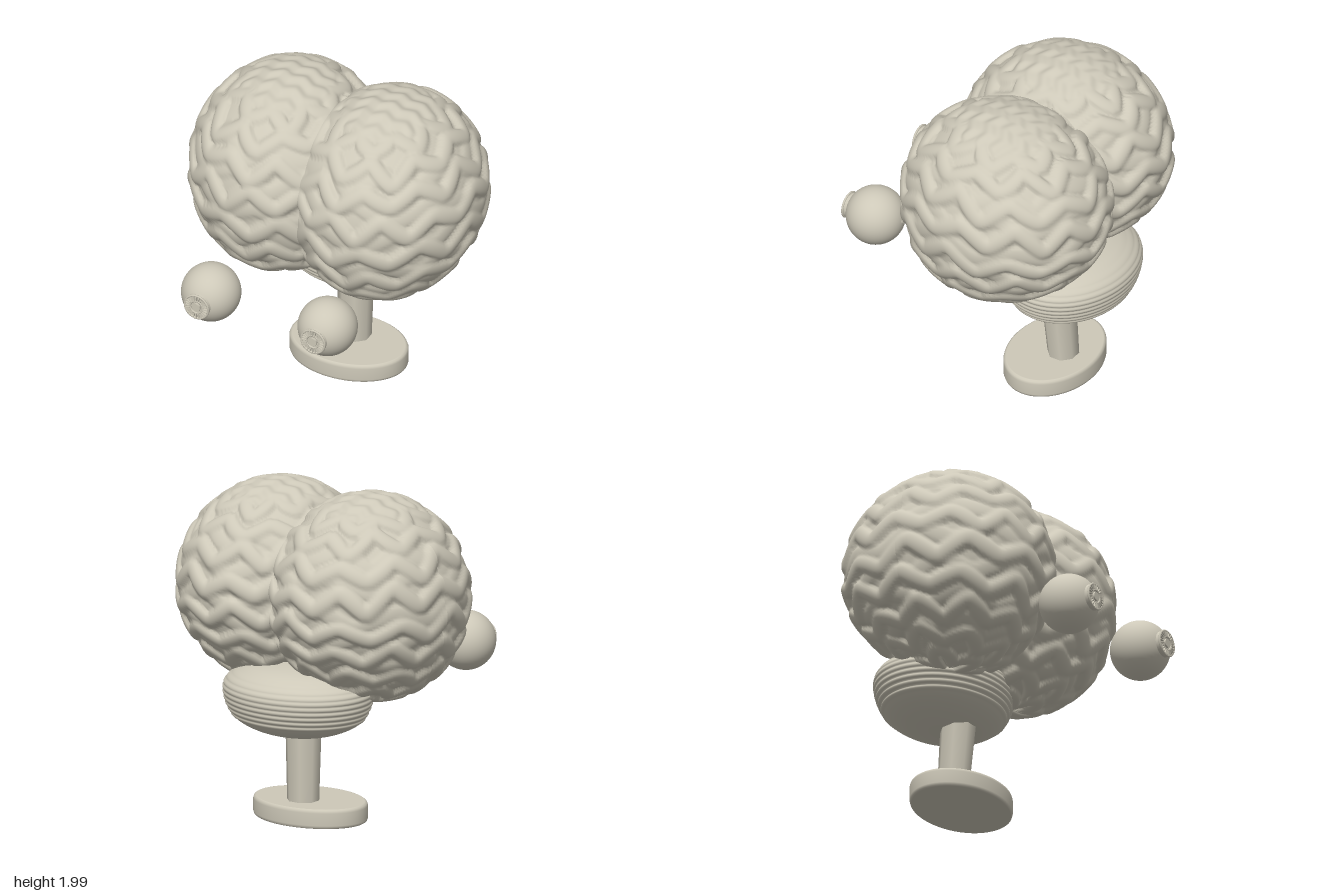
import * as THREE from 'three';

const stone = new THREE.MeshStandardMaterial({ color: 0xcdc8b8 });
stone.name = 'warm stone';

function add(parent, name, geometry, x = 0, y = 0, z = 0) {
  const mesh = new THREE.Mesh(geometry, stone);
  mesh.name = name;
  mesh.position.set(x, y, z);
  parent.add(mesh);
  return mesh;
}

// Rounded zigzag between -1 and 1
const zigzag = (t) => Math.asin(0.93 * Math.sin(t)) / Math.asin(0.93);

// Folds around a hemisphere: latitude in degrees, wave count, phase, strength
const folds = [
  [-76, 5, 0.4, 1], [-59, 8, 1.2, 1], [-42, 10, 0.2, 1], [-25, 10, 1.5, 1], [-8, 10, 0.6, 1],
  [10, 11, 1.9, 1], [27, 10, 0.9, 1], [43, 9, 2.2, 1], [58, 8, 0.5, 0.8],
  [-33, 7, 3.1, 0.4], [-16, 9, 3.9, 0.4], [1, 8, 0.1, 0.4], [19, 7, 4.2, 0.4], [35, 8, 5.1, 0.4], [-51, 7, 2.6, 0.4],
];

function foldLatitude([lat, waves, phase], a) {
  const swing = 4.6 + 1.3 * Math.sin(3 * a + phase * 2);
  return lat + swing * zigzag(waves * a + phase) + 1.5 * Math.sin(2 * a + phase);
}

// Rounded ridge profile, 1 on the line and 0 beyond the width
const ridge = (d, width) => (Math.abs(d) < width ? Math.sqrt(1 - (d / width) ** 2) : 0);

// Height of the folds above the smooth core in direction n
function foldHeight(n) {
  const lat = THREE.MathUtils.radToDeg(Math.asin(THREE.MathUtils.clamp(n.y, -1, 1)));
  const a = Math.atan2(n.z, n.x);
  const cos = Math.max(Math.hypot(n.x, n.z), 0.15);
  let h = 0;
  for (const fold of folds) {
    const line = foldLatitude(fold, a);
    const slope = THREE.MathUtils.degToRad(foldLatitude(fold, a + 0.01) - line) / (0.01 * cos);
    const d = (lat - line) / Math.sqrt(1 + slope * slope);
    h = Math.max(h, fold[3] * ridge(d, 5.2));
  }
  // Shallow wavy rows across the crown
  const crown = THREE.MathUtils.smoothstep(lat, 56, 64);
  const row = Math.sin((n.z + 0.025 * zigzag(n.x * 26)) * 36);
  return Math.max(h, crown * (0.72 + 0.2 * row));
}

function makeHemisphere(side) {
  const geometry = new THREE.SphereGeometry(1, 210, 132);
  const p = geometry.attributes.position;
  const n = new THREE.Vector3();
  for (let i = 0; i < p.count; i++) {
    n.fromBufferAttribute(p, i).normalize();
    n.x *= side;
    const k = 0.945 + 0.05 * foldHeight(n);
    // The underside dips toward the front
    const dip = n.y < 0 ? 0.08 * n.y * n.z : 0;
    p.setXYZ(i, side * (0.33 + 0.59 * k * n.x), 1.36 + 0.635 * k * n.y + dip, -0.205 + 0.66 * k * n.z);
  }
  geometry.computeVertexNormals();
  return geometry;
}

function makeEye(x) {
  const group = new THREE.Group();
  group.name = x > 0 ? 'leftEye' : 'rightEye';
  group.position.set(x, 0.93, 0.672);
  add(group, 'eyeball', new THREE.SphereGeometry(0.178, 48, 32));
  // Small nerve stub at the back
  const stub = add(group, 'nerveStub', new THREE.CylinderGeometry(0.018, 0.036, 0.02, 16), Math.sign(x) * -0.025, 0.01, -0.17);
  stub.rotation.x = -Math.PI / 2;
  // Raised iris with rims, spokes and pupil
  const iris = add(group, 'iris', new THREE.CylinderGeometry(0.076, 0.08, 0.03, 32), 0, 0, 0.166);
  iris.rotation.x = Math.PI / 2;
  add(group, 'irisRim', new THREE.TorusGeometry(0.077, 0.007, 8, 40), 0, 0, 0.185);
  add(group, 'pupilRim', new THREE.TorusGeometry(0.041, 0.006, 8, 32), 0, 0, 0.187);
  const pupil = add(group, 'pupil', new THREE.CylinderGeometry(0.028, 0.028, 0.016, 8), 0, 0, 0.187);
  pupil.rotation.x = Math.PI / 2;
  for (let i = 0; i < 24; i++) {
    const a = (i / 24) * Math.PI * 2;
    const spoke = add(group, 'irisSpoke', new THREE.BoxGeometry(0.03, 0.006, 0.016), 0.059 * Math.cos(a), 0.059 * Math.sin(a), 0.186);
    spoke.rotation.z = a;
  }
  return group;
}

export function createModel() {
  const model = new THREE.Group();
  model.name = 'brainOnStand';
  for (const side of [1, -1]) {
    add(model, side > 0 ? 'leftHemisphere' : 'rightHemisphere', makeHemisphere(side));
    model.add(makeEye(side * 0.387));
  }

  // Cerebellum: smooth bowl below, ribbed flank, rounded top
  const profile = [];
  for (let i = 0; i <= 12; i++) {
    const a = i / 12;
    profile.push(new THREE.Vector2(0.83 * Math.sin(a) / Math.sin(1), 0.52 + 0.1 * (1 - Math.cos(a)) / (1 - Math.cos(1))));
  }
  const ribs = 9;
  for (let i = 0; i <= ribs * 6; i++) {
    const y = 0.625 + (0.29 * i) / (ribs * 6);
    const body = Math.sqrt(1 - ((y - 0.8) / (y < 0.8 ? 0.34 : 0.18)) ** 2);
    const fade = 1 - 0.7 * i / (ribs * 6);
    profile.push(new THREE.Vector2(body + 0.025 * fade * (Math.abs(Math.sin((i / 6) * Math.PI)) - 0.8), y));
  }
  for (const [r, y] of [[0.68, 0.935], [0.5, 0.955], [0.25, 0.967], [0, 0.97]]) profile.push(new THREE.Vector2(r, y));
  const bowl = new THREE.LatheGeometry(profile, 64);
  bowl.scale(0.475, 1, 0.39);
  add(model, 'cerebellum', bowl, 0, 0, -0.45);

  // Eight-sided leaning stem with softened edges
  const stem = new THREE.CylinderGeometry(0.112, 0.098, 0.5, 8, 1, true);
  stem.rotateY(Math.PI / 8);
  const p = stem.attributes.position;
  for (let i = 0; i < p.count; i++) {
    const t = p.getY(i) / 0.5 + 0.5;
    p.setXYZ(i, p.getX(i) + 0.006 + 0.02 * t, p.getY(i), p.getZ(i) * 0.95 + 0.03 * t);
  }
  add(model, 'stem', stem, 0, 0.34, -0.395);

  // Oval foot with softened rims
  const foot = [[0, 0], [0.96, 0], [0.985, 0.005], [1, 0.02], [1, 0.095], [0.985, 0.11], [0.955, 0.117], [0.94, 0.117], [0, 0.117]];
  const base = new THREE.LatheGeometry(foot.map(([r, y]) => new THREE.Vector2(r, y)), 64);
  base.scale(0.37, 1, 0.272);
  add(model, 'foot', base, 0, 0, -0.33);

  return model;
}
